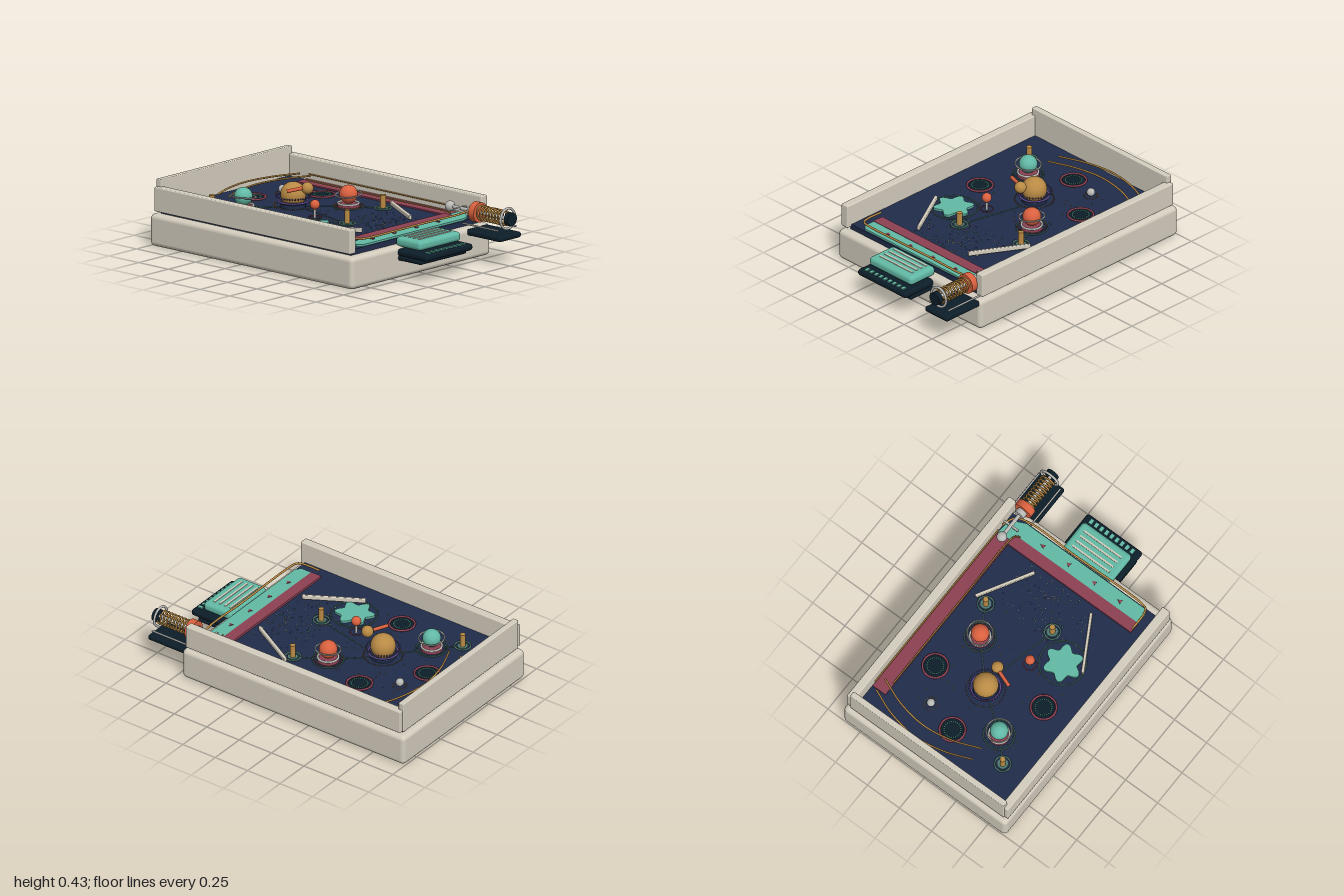
import * as THREE from 'three';
import { mergeGeometries } from 'three/addons/utils/BufferGeometryUtils.js';
import { RoundedBoxGeometry } from 'three/addons/geometries/RoundedBoxGeometry.js';

const colours = {
  cream: 0xd4cdbe, navy: 0x202c4a, maroon: 0x8c4052, teal: 0x62b9a5, black: 0x0d1e29,
  gold: 0xb98a45, coral: 0xd9613f, silver: 0xb9b9b6, purple: 0x5b4a8c, sage: 0x4f7a70,
};
const M = {};
for (const [name, color] of Object.entries(colours)) {
  M[name] = new THREE.MeshStandardMaterial({ color });
  M[name].name = name;
}
const V = (x, y, z) => new THREE.Vector3(x, y, z);
const FLOOR = 0.24;

export function createModel() {
  const root = new THREE.Group();
  root.name = 'pinballTable';

  const add = (name, geo, mat, x = 0, y = 0, z = 0) => {
    const m = new THREE.Mesh(geo, M[mat]);
    m.name = name;
    m.position.set(x, y, z);
    root.add(m);
    return m;
  };
  // box given by its limits; r rounds the edges
  const box = (name, mat, x0, x1, y0, y1, z0, z1, r = 0) => {
    const s = [x1 - x0, y1 - y0, z1 - z0];
    const g = r ? new RoundedBoxGeometry(...s, 3, r) : new THREE.BoxGeometry(...s);
    return add(name, g, mat, (x0 + x1) / 2, (y0 + y1) / 2, (z0 + z1) / 2);
  };
  const ball = (name, mat, x, y, z, r) => add(name, new THREE.SphereGeometry(r, 32, 20), mat, x, y, z);
  const disc = (name, mat, x, y, z, r, h) => add(name, new THREE.CylinderGeometry(r, r, h, 36), mat, x, y, z);
  const ring = (name, mat, x, y, z, r, t) =>
    add(name, new THREE.TorusGeometry(r, t, 8, 48).rotateX(Math.PI / 2), mat, x, y, z);
  const tube = (name, mat, pts, r, seg = 48, curve = new THREE.CatmullRomCurve3(pts, false, 'centripetal')) =>
    add(name, new THREE.TubeGeometry(curve, seg, r, 8), mat);
  // flat plate from [x, z] outline
  const plate = (name, mat, pts, y, h) => {
    const s = new THREE.Shape(pts.map(([x, z]) => new THREE.Vector2(x, -z)));
    return add(name, new THREE.ExtrudeGeometry(s, { depth: h, bevelEnabled: false }).rotateX(-Math.PI / 2), mat, 0, y, 0);
  };
  // many small beads merged into one mesh
  const beads = (name, mat, pts, r) =>
    add(name, mergeGeometries(pts.map((p) => new THREE.SphereGeometry(r, 6, 4).translate(p.x, p.y, p.z))), mat);
  const circle = (x, y, z, r, n) =>
    Array.from({ length: n }, (_, i) => {
      const a = (i / n) * Math.PI * 2;
      return V(x + r * Math.cos(a), y, z + r * Math.sin(a));
    });

  // Cabinet, playfield and walls
  box('cabinetBase', 'cream', -0.635, 0.635, 0, 0.205, -1, 0.715, 0.03);
  box('playfield', 'navy', -0.58, 0.58, 0.2, FLOOR, -0.95, 0.655);
  for (const s of [-1, 1]) {
    box(s < 0 ? 'rightWall' : 'leftWall', 'cream', s * 0.6 - 0.028, s * 0.6 + 0.028, 0.224, 0.38, -0.965, 0.69, 0.008);
  }
  box('backWall', 'cream', -0.6, 0.6, 0.222, 0.427, -0.972, -0.932, 0.006);

  // Shooter lane and apron
  box('shooterLane', 'maroon', 0.47, 0.568, FLOOR, 0.248, -0.78, 0.5);
  box('apronStripe', 'maroon', -0.49, 0.47, FLOOR, 0.255, 0.47, 0.545);
  plate('apron', 'teal', [[-0.49, 0.545], [0.44, 0.545], [0.475, 0.5], [0.568, 0.5], [0.56, 0.57], [0.52, 0.62], [0.46, 0.648],
    [-0.46, 0.648], [-0.49, 0.62]], FLOOR, 0.012);
  for (const x of [-0.31, -0.11, 0.09, 0.29]) {
    plate('apronArrow', 'maroon', [[x - 0.012, 0.578], [x + 0.016, 0.592], [x - 0.012, 0.606]], 0.252, 0.004);
  }

  // Gold guide rails
  tube('apronRail', 'gold', [V(-0.49, 0.29, 0.48), V(-0.49, 0.29, 0.6), V(-0.475, 0.29, 0.64), V(-0.44, 0.29, 0.652),
    V(0.1, 0.29, 0.652), V(0.44, 0.29, 0.652), V(0.53, 0.29, 0.62), V(0.565, 0.29, 0.54)], 0.007, 80);
  tube('laneRail', 'gold', [V(0.472, 0.27, -0.7), V(0.472, 0.27, 0), V(0.472, 0.27, 0.49), V(0.46, 0.27, 0.535),
    V(0.43, 0.27, 0.548)], 0.005, 60);
  tube('laneOuterRail', 'gold', [V(0.566, 0.28, -0.76), V(0.566, 0.28, 0.5)], 0.005, 4);
  for (const z of [0, 0.09]) {
    tube('archRail', 'gold', [V(-0.23, 0.285, -0.8 + z), V(-0.05, 0.285, -0.868 + z), V(0.15, 0.285, -0.898 + z),
      V(0.35, 0.285, -0.868 + z), V(0.525, 0.285, -0.8 + z)], 0.006);
  }

  // Ringed planet bumpers
  for (const [name, mat, x, z] of [['tealPlanet', 'teal', -0.25, -0.56], ['coralPlanet', 'coral', 0.235, -0.12]]) {
    disc(name + 'Base', 'maroon', x, 0.25, z, 0.07, 0.02);
    ring(name + 'Skirt', 'silver', x, 0.264, z, 0.065, 0.007);
    ball(name, mat, x, 0.32, z, 0.058);
    ring(name + 'Ring', 'silver', x, 0.32, z, 0.08, 0.005).rotation.z = x * 0.4;
    ring(name + 'Orbit', 'sage', x, 0.244, z, 0.098, 0.004);
    beads(name + 'Beads', mat, circle(x, 0.248, z, 0.088, 28), 0.004);
  }

  // Central sun with collar and moon
  disc('sunBase', 'navy', 0, 0.25, -0.37, 0.08, 0.03);
  ring('sunCollar', 'purple', 0, 0.278, -0.37, 0.092, 0.007);
  ball('sun', 'gold', 0, 0.32, -0.37, 0.08);
  beads('sunBeads', 'purple', circle(0, 0.308, -0.37, 0.105, 36), 0.006);
  beads('sunOuterBeads', 'gold', circle(0, 0.25, -0.37, 0.122, 44), 0.004);
  ball('moon', 'gold', 0, 0.378, -0.25, 0.038);
  tube('moonArm', 'coral', [V(-0.135, 0.372, -0.305), V(-0.03, 0.38, -0.268)], 0.012, 2);
  ball('smallCoralPlanet', 'coral', -0.12, 0.325, -0.075, 0.031);
  disc('smallCoralPlanetStem', 'silver', -0.12, 0.27, -0.075, 0.008, 0.06);
  ring('smallCoralPlanetRing', 'maroon', -0.12, 0.246, -0.075, 0.04, 0.003);

  // Posts with floor rings
  for (const [x, z] of [[-0.385, -0.7], [0.34, 0.075], [-0.1, 0.18]]) {
    disc('post', 'gold', x, 0.285, z, 0.018, 0.09);
    disc('postBase', 'sage', x, 0.243, z, 0.034, 0.008);
    ring('postRing', 'sage', x, 0.246, z, 0.05, 0.006);
  }
  ball('steelBall', 'silver', 0.21, 0.268, -0.655, 0.026);
  beads('steelBallBeads', 'gold', circle(0.21, 0.243, -0.655, 0.042, 14), 0.004);

  // Sink holes
  for (const [x, z] of [[0, -0.71], [0.34, -0.44], [-0.36, -0.25]]) {
    disc('holeRim', 'black', x, 0.242, z, 0.078, 0.008);
    ring('holeRing', 'maroon', x, 0.247, z, 0.08, 0.007);
    beads('holeBeads', 'teal', circle(x, 0.248, z, 0.052, 24), 0.005);
  }

  // Wavy nebula island
  const blob = Array.from({ length: 60 }, (_, i) => {
    const a = (i / 60) * Math.PI * 2, r = 0.108 + 0.02 * Math.cos(6 * a + 0.6);
    return [-0.28 + r * Math.cos(a), 0.055 - r * Math.sin(a)];
  });
  plate('nebula', 'teal', blob, FLOOR, 0.014);
  ring('nebulaRing', 'sage', -0.275, 0.244, 0.055, 0.147, 0.004);

  // Slanted guide bars
  for (const s of [-1, 1]) {
    const bar = add('guideBar', new RoundedBoxGeometry(0.02, 0.03, 0.4, 2, 0.006), 'cream', s * 0.32, 0.262, 0.245);
    bar.rotation.y = -s * Math.atan2(0.2, 0.35);
  }

  // Dotted orbits and scattered stars
  const paths = [[-0.385, -0.7, -0.25, -0.56], [-0.25, -0.56, 0, -0.37], [0, -0.37, 0.235, -0.12],
    [0.235, -0.12, 0.34, 0.075], [0, -0.25, -0.1, 0.18]];
  for (const [x0, z0, x1, z1] of paths) {
    tube('orbitLine', 'sage', [V(x0, 0.242, z0), V(x1, 0.242, z1)], 0.003, 2);
  }
  let seed = 7;
  const rnd = () => (seed = (seed * 16807) % 2147483647) / 2147483647;
  for (const [mat, n] of [['teal', 55], ['cream', 55], ['purple', 30]]) {
    beads(mat + 'Stars', mat, Array.from({ length: n }, () => V((rnd() + rnd() - 1) * 0.36, 0.241, 0.1 + rnd() * 0.35)), 0.004);
  }
  beads('upperStars', 'gold', Array.from({ length: 36 }, () => V(-0.4 + rnd() * 0.8, 0.241, -0.7 + rnd() * 0.7)), 0.004);

  // Front console with key row
  box('consoleLower', 'black', -0.213, 0.213, 0.115, 0.15, 0.68, 0.905, 0.016);
  box('consoleUpper', 'black', -0.215, 0.215, 0.145, 0.188, 0.68, 0.955, 0.018);
  box('consolePad', 'teal', -0.19, 0.19, 0.195, 0.257, 0.665, 0.88, 0.025);
  for (let i = 0; i < 4; i++) box('padStripe', 'cream', -0.145, 0.145, 0.255, 0.261, 0.698 + i * 0.04, 0.71 + i * 0.04);
  for (let i = 0; i < 9; i++) {
    const x = -0.16 + i * 0.04;
    box('key', 'teal', x - 0.011, x + 0.011, 0.185, 0.195, 0.902, 0.934);
  }

  // Plunger: tray, rod, spring and knob
  const PX = 0.52, PY = 0.293;
  const rod = (name, mat, r, z0, z1) =>
    add(name, new THREE.CylinderGeometry(r, r, z1 - z0, 32).rotateX(Math.PI / 2), mat, PX, PY, (z0 + z1) / 2);
  box('plungerTray', 'black', 0.42, 0.62, 0.16, 0.197, 0.655, 0.99, 0.016);
  for (const s of [-1, 1]) tube('trayRail', 'silver', [V(PX + s * 0.083, 0.228, 0.66), V(PX + s * 0.083, 0.228, 0.965)], 0.006, 2);
  ball('plungerBall', 'silver', PX, PY, 0.475, 0.033);
  rod('plungerRod', 'silver', 0.012, 0.48, 0.97);
  box('plungerCrossbar', 'silver', 0.462, 0.57, 0.285, 0.3, 0.558, 0.572);
  rod('plungerHub', 'silver', 0.035, 0.65, 0.69);
  rod('plungerCollar', 'coral', 0.064, 0.685, 0.732);
  const coil = Array.from({ length: 145 }, (_, i) => {
    const a = (i / 16) * Math.PI * 2;
    return V(PX + 0.044 * Math.cos(a), PY + 0.044 * Math.sin(a), 0.732 + (i / 144) * 0.225);
  });
  tube('spring', 'gold', coil, 0.006, 260);
  add('plungerRing', new THREE.TorusGeometry(0.065, 0.008, 10, 40), 'silver', PX, PY, 0.962);
  rod('plungerKnob', 'black', 0.043, 0.968, 1);

  return root;
}
